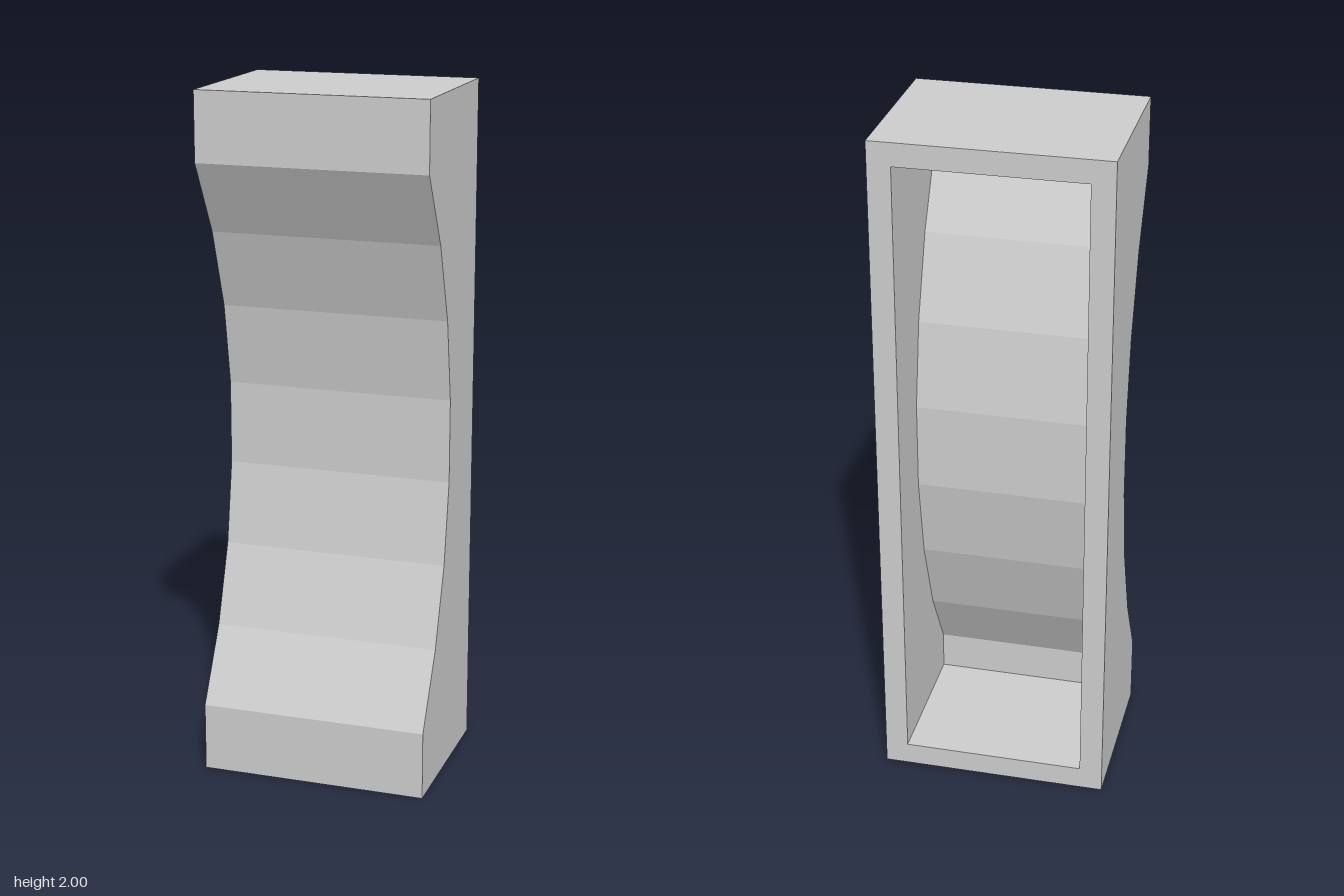
import * as THREE from 'three';

const HALF_WIDTH = 0.333, HALF_DEPTH = 0.25, HEIGHT = 2, WALL = 0.067;
const RADIUS = 1.405, SEGMENTS = 7;              // concave front curve
const SWEEP = 2 * Math.asin(0.8 / RADIUS), STEP = SWEEP / SEGMENTS;

const material = new THREE.MeshStandardMaterial({ color: 0xcccccc, flatShading: true });

// Points [z, y] of the scooped front, from bottom to top
function scoop(radius) {
  const points = [];
  for (let i = 0; i <= SEGMENTS; i++) {
    const a = -SWEEP / 2 + i * STEP;
    points.push([RADIUS - radius * Math.cos(a), HEIGHT / 2 + radius * Math.sin(a)]);
  }
  return points;
}

// Side outline of the body
function outerProfile() {
  return [[-HALF_DEPTH, 0], [HALF_DEPTH, 0], ...scoop(RADIUS), [HALF_DEPTH, HEIGHT], [-HALF_DEPTH, HEIGHT]];
}

// Side outline of the cavity, one wall thickness further in
function innerProfile() {
  const front = HALF_DEPTH - WALL;
  const curve = scoop(RADIUS + WALL / Math.cos(STEP / 2));
  const y = 0.2 - WALL * Math.tan((SWEEP - STEP) / 4);
  curve[0] = [front, y];
  curve[SEGMENTS] = [front, HEIGHT - y];
  return [[-HALF_DEPTH, WALL], [front, WALL], ...curve, [front, HEIGHT - WALL], [-HALF_DEPTH, HEIGHT - WALL]];
}

function surface(name, vertices, indices, flip) {
  const order = flip ? indices.slice().reverse() : indices;
  let geometry = new THREE.BufferGeometry();
  geometry.setAttribute('position', new THREE.Float32BufferAttribute(vertices.flat(), 3));
  geometry.setIndex(order);
  geometry = geometry.toNonIndexed();
  geometry.computeVertexNormals();
  const mesh = new THREE.Mesh(geometry, material);
  mesh.name = name;
  return mesh;
}

// Sweep a profile across x
function skin(name, profile, halfWidth, flip) {
  const vertices = profile.flatMap(([z, y]) => [[-halfWidth, y, z], [halfWidth, y, z]]);
  const indices = [];
  for (let i = 0; i < profile.length - 1; i++) {
    const a = 2 * i;
    indices.push(a, a + 1, a + 3, a, a + 3, a + 2);
  }
  return surface(name, vertices, indices, flip);
}

// Flat side face; unflipped it faces -x
function panel(name, profile, x, flip) {
  const outline = profile.map(([z, y]) => new THREE.Vector2(z, y));
  const indices = THREE.ShapeUtils.triangulateShape(outline, []).flat();
  return surface(name, profile.map(([z, y]) => [x, y, z]), indices, flip);
}

function rectangle(target, halfWidth, y0, y1) {
  target.moveTo(-halfWidth, y0);
  target.lineTo(halfWidth, y0);
  target.lineTo(halfWidth, y1);
  target.lineTo(-halfWidth, y1);
  target.closePath();
  return target;
}

export function createModel() {
  const group = new THREE.Group();
  group.name = 'hollowScoopedBlock';
  const outer = outerProfile(), inner = innerProfile();
  const innerHalf = HALF_WIDTH - WALL;

  // Outside and cavity surfaces
  group.add(skin('outerShell', outer, HALF_WIDTH, false));
  group.add(skin('cavityShell', inner, innerHalf, true));
  for (const [side, s] of [['right', -1], ['left', 1]]) {
    group.add(panel(side + 'OuterSide', outer, s * HALF_WIDTH, s > 0));
    group.add(panel(side + 'CavitySide', inner, s * innerHalf, s < 0));
  }

  // Rim around the open back
  const frame = rectangle(new THREE.Shape(), HALF_WIDTH, 0, HEIGHT);
  frame.holes.push(rectangle(new THREE.Path(), innerHalf, WALL, HEIGHT - WALL));
  const rim = new THREE.Mesh(new THREE.ShapeGeometry(frame).rotateY(Math.PI).translate(0, 0, -HALF_DEPTH), material);
  rim.name = 'backRim';
  group.add(rim);

  return group;
}
